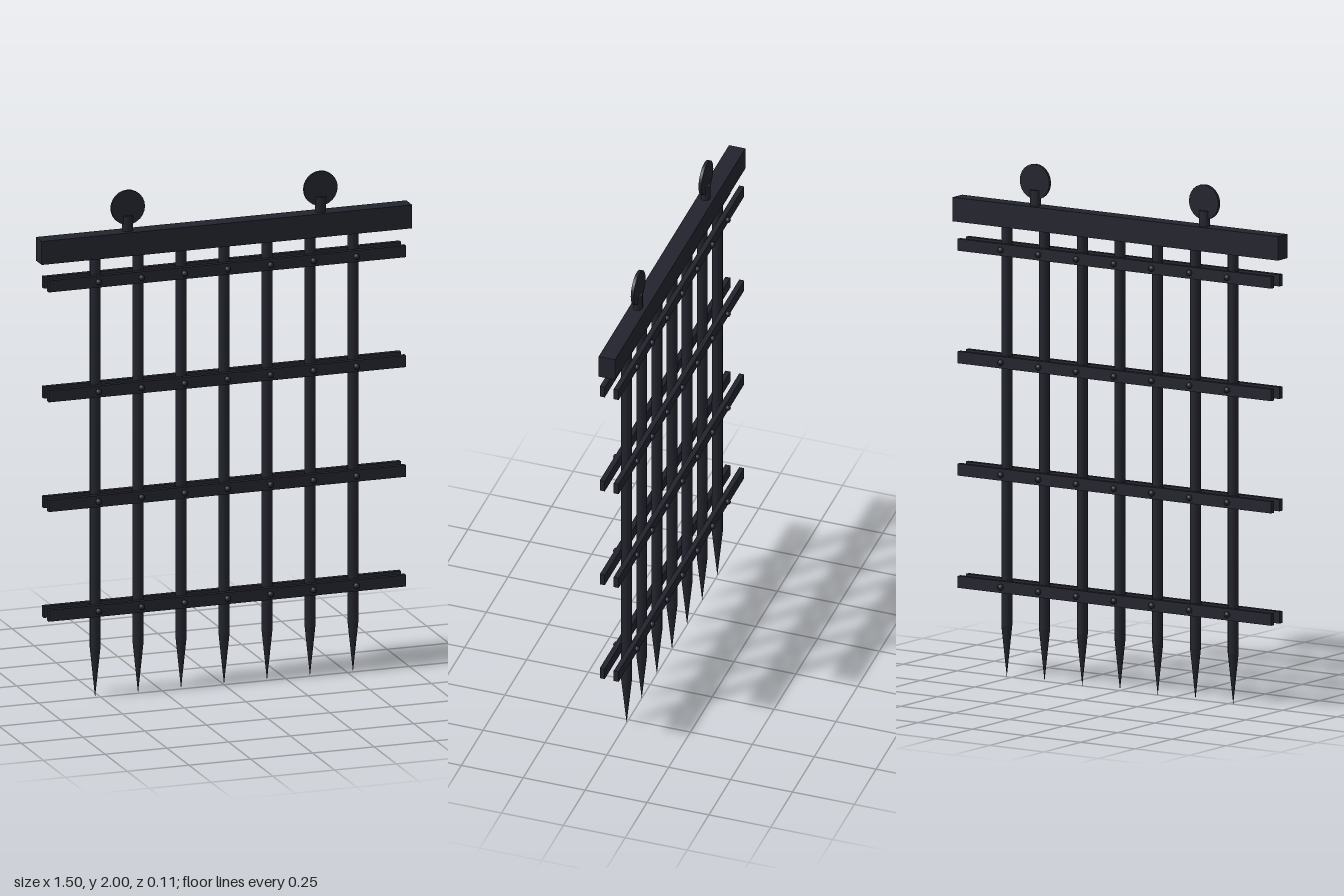
import * as THREE from 'three';

export function createModel() {
  const group = new THREE.Group();
  const iron = new THREE.MeshStandardMaterial({ color: 0x23232e });
  iron.name = 'dark iron';

  const add = (name, geometry, x, y, z) => {
    const mesh = new THREE.Mesh(geometry, iron);
    mesh.name = name;
    mesh.position.set(x, y, z);
    group.add(mesh);
    return mesh;
  };

  // Top beam
  add('topBeam', new THREE.BoxGeometry(1.5, 0.093, 0.066), 0, 1.793, 0);

  // Upright bars with pointed lower ends
  const barX = [-3, -2, -1, 0, 1, 2, 3].map(i => i * 0.174);
  const bar = new THREE.CylinderGeometry(0.021, 0.021, 1.57, 12);
  const spike = new THREE.ConeGeometry(0.021, 0.2, 12).rotateX(Math.PI);
  for (const x of barX) {
    add('uprightBar', bar, x, 0.985, 0);
    add('spike', spike, x, 0.1, 0);
  }

  // Paired cross rails, riveted at every upright
  const rail = new THREE.BoxGeometry(1.446, 0.046, 0.02);
  const rivet = new THREE.SphereGeometry(0.012, 10, 8);
  for (const y of [0.353, 0.788, 1.223, 1.659]) {
    for (const side of [-1, 1]) {
      add('crossRail', rail, 0, y, side * 0.028);
      for (const x of barX) add('rivet', rivet, x, y, side * 0.042);
    }
  }

  // Hoisting lugs: a short post carrying a thin upright disc
  const post = new THREE.CylinderGeometry(0.022, 0.022, 0.08, 12).scale(1, 1, 0.8);
  const disc = new THREE.CylinderGeometry(0.068, 0.068, 0.012, 24).rotateX(Math.PI / 2);
  for (const side of [-1, 1]) {
    add('lugPost', post, side * 0.39, 1.86, 0);
    add('lugDisc', disc, side * 0.39, 1.932, 0);
  }
  return group;
}
